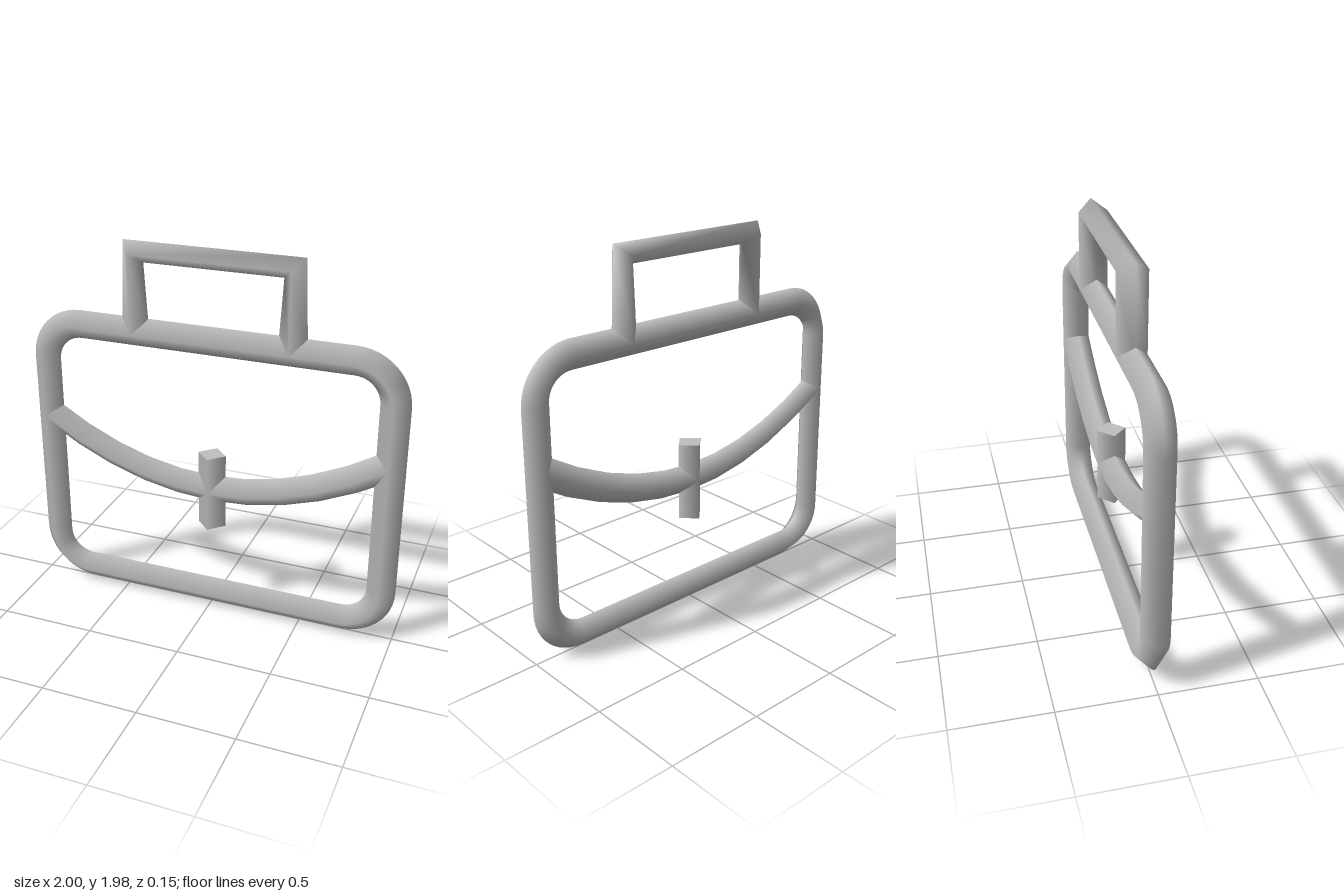
import * as THREE from 'three';

const RADIUS = 0.075;

// Sweeps a diamond section along a path in the xy plane, smooth shaded
function diamondTube(path, { closed = false, capped = false } = {}) {
  const n = path.length;
  const pos = [], nor = [], idx = [];
  const dir = (a, b) => b.clone().sub(a).normalize();
  const z = new THREE.Vector3(0, 0, 1);
  const rings = path.map((p, i) => {
    const prev = path[closed ? (i + n - 1) % n : Math.max(i - 1, 0)];
    const next = path[closed ? (i + 1) % n : Math.min(i + 1, n - 1)];
    const t = dir(prev, p).add(dir(p, next)).normalize();
    const side = new THREE.Vector3(-t.y, t.x, 0);
    const offsets = [side, z, side.clone().negate(), z.clone().negate()];
    return { p, t, offsets };
  });
  const addRing = (ring, flatNormal) => {
    for (const o of ring.offsets) {
      pos.push(...ring.p.clone().addScaledVector(o, RADIUS).toArray());
      nor.push(...(flatNormal || o).toArray());
    }
  };
  rings.forEach((ring) => addRing(ring));
  for (let i = 0; i < (closed ? n : n - 1); i++) {
    for (let j = 0; j < 4; j++) {
      const k = (j + 1) % 4, m = (i + 1) % n;
      const a = i * 4 + j, b = i * 4 + k, c = m * 4 + j, d = m * 4 + k;
      idx.push(a, b, c, b, d, c);
    }
  }
  if (capped) {
    const s = n * 4, e = s + 4;
    addRing(rings[0], rings[0].t.clone().negate());
    addRing(rings[n - 1], rings[n - 1].t);
    idx.push(s, s + 2, s + 1, s, s + 3, s + 2, e, e + 1, e + 2, e, e + 2, e + 3);
  }
  const g = new THREE.BufferGeometry();
  g.setAttribute('position', new THREE.Float32BufferAttribute(pos, 3));
  g.setAttribute('normal', new THREE.Float32BufferAttribute(nor, 3));
  g.setIndex(idx);
  return g;
}

const v = (x, y) => new THREE.Vector3(x, y, 0);

// Centre line of the body outline: counter-clockwise rounded rectangle
function roundedRect(halfWidth, bottom, top, r, steps) {
  const w = halfWidth - r;
  const centres = [[w, top - r], [-w, top - r], [-w, bottom + r], [w, bottom + r]];
  const points = [];
  centres.forEach(([cx, cy], q) => {
    for (let i = 0; i <= steps; i++) {
      const a = (q + i / steps) * Math.PI / 2;
      points.push(v(cx + r * Math.cos(a), cy + r * Math.sin(a)));
    }
  });
  return points;
}

export function createModel() {
  const group = new THREE.Group();
  const grey = new THREE.MeshStandardMaterial({ color: 0xbfbfbf });
  grey.name = 'grey';
  const add = (name, geometry) => {
    const mesh = new THREE.Mesh(geometry, grey);
    mesh.name = name;
    group.add(mesh);
  };

  // Case outline
  add('frame', diamondTube(roundedRect(0.925, 0.078, 1.515, 0.205, 12), { closed: true }));

  // Carrying handle with sharp corners
  add('handle', diamondTube(
    [v(0.412, 1.515), v(0.412, 1.928), v(-0.412, 1.928), v(-0.412, 1.515)], { capped: true }));

  // Sagging edge of the flap
  const flap = [];
  for (let i = 0; i <= 10; i++) {
    const s = i / 5 - 1;
    flap.push(v(0.925 * s, 0.702 + 0.298 * s * s));
  }
  add('flapEdge', diamondTube(flap, { capped: true }));

  // Upright clasp in the middle of the flap
  add('clasp', diamondTube([v(0, 0.49), v(0, 0.9)], { capped: true }));

  return group;
}
